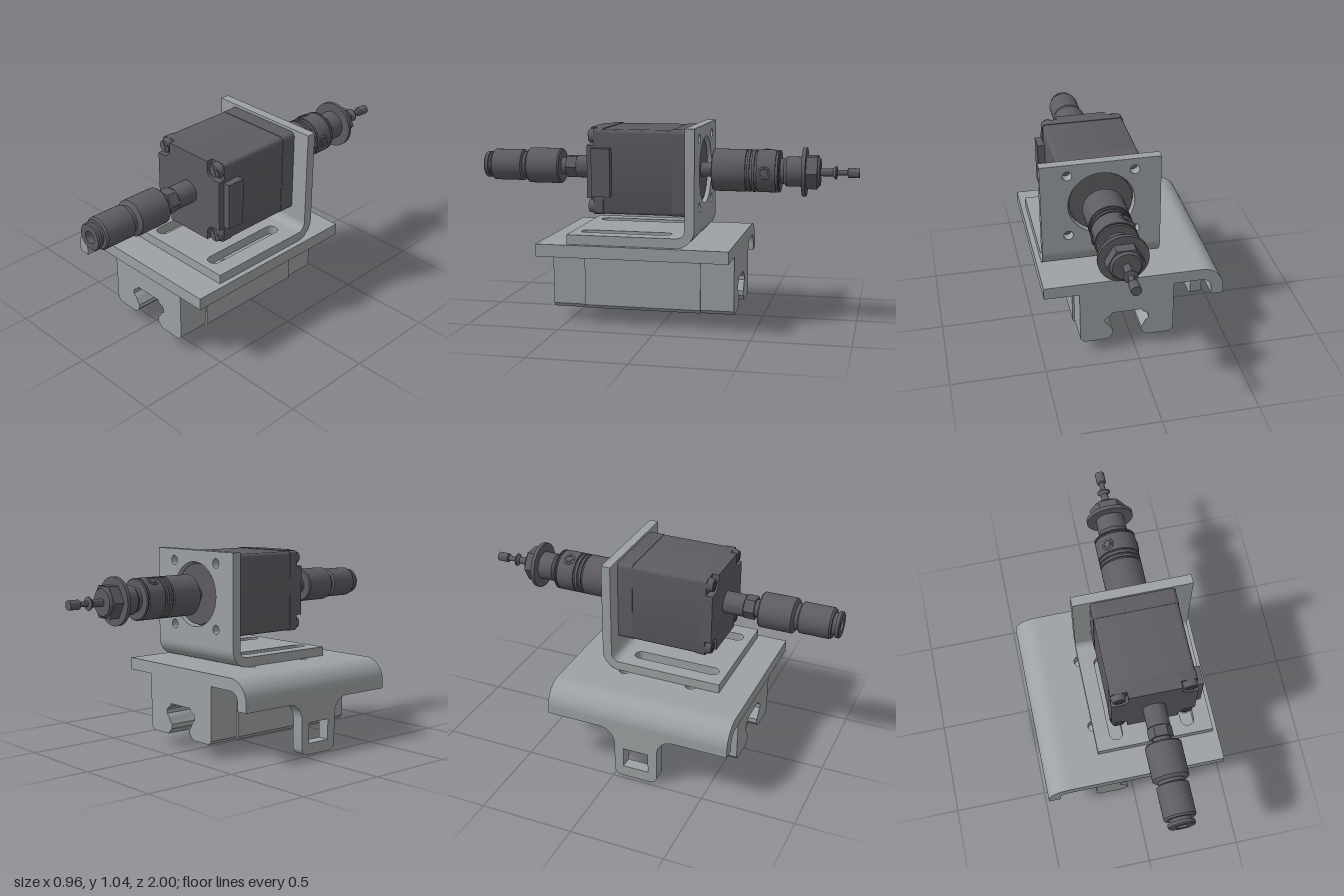
import * as THREE from 'three';
import { toCreasedNormals } from 'three/addons/utils/BufferGeometryUtils.js';

const CX = 0.138, CY = 0.808; // motor axis

export function createModel() {
  const root = new THREE.Group();
  const steel = new THREE.MeshStandardMaterial({ color: 0x9da2a4 });
  steel.name = 'light grey metal';
  const dark = new THREE.MeshStandardMaterial({ color: 0x5e5c62 });
  dark.name = 'dark grey metal';

  const add = (name, geo, mat, parent = root) => {
    const mesh = new THREE.Mesh(geo, mat);
    mesh.name = name;
    parent.add(mesh);
    return mesh;
  };
  const box = (name, x0, x1, y0, y1, z0, z1, mat, parent) =>
    add(name, new THREE.BoxGeometry(x1 - x0, y1 - y0, z1 - z0)
      .translate((x0 + x1) / 2, (y0 + y1) / 2, (z0 + z1) / 2), mat, parent);
  const poly = (pts) => new THREE.Shape(pts.map(([x, y]) => new THREE.Vector2(x, y)));
  const rect = (x0, x1, y0, y1) => poly([[x0, y0], [x1, y0], [x1, y1], [x0, y1]]);
  const circle = (x, y, r) => new THREE.Path().absarc(x, y, r, 0, Math.PI * 2, true);
  const slab = (shape, depth) => toCreasedNormals(
    new THREE.ExtrudeGeometry(shape, { depth, bevelEnabled: false, curveSegments: 20 }), 0.5);
  // Extrusions along z, along x (shape in z,y) and along y (shape in x,-z)
  const alongZ = (shape, z0, z1) => slab(shape, z1 - z0).translate(0, 0, z0);
  const alongX = (shape, x0, x1) => slab(shape, x1 - x0).rotateY(-Math.PI / 2).translate(x1, 0, 0);
  const alongY = (shape, y0, y1) => slab(shape, y1 - y0).rotateX(-Math.PI / 2).translate(0, y0, 0);
  const bend = (x, y, rOut, rIn, a0, a1) => {
    const s = new THREE.Shape();
    s.absarc(x, y, rOut, a0, a1, false);
    s.absarc(x, y, rIn, a1, a0, true);
    return s;
  };
  // Turned part on the motor axis, profile given as [z, radius]
  const turned = (name, profile, parent) => {
    const geo = new THREE.LatheGeometry(profile.map(([z, r]) => new THREE.Vector2(r, z)), 40);
    return add(name, toCreasedNormals(geo, 0.5).rotateX(Math.PI / 2).translate(CX, CY, 0), dark, parent);
  };
  const hexNut = (name, z0, z1, r, parent) =>
    add(name, toCreasedNormals(new THREE.CylinderGeometry(r, r, z1 - z0, 6), 0.5)
      .rotateY(Math.PI / 2).rotateX(Math.PI / 2).translate(CX, CY, (z0 + z1) / 2), dark, parent);

  // Base plate with rolled edge and latch tab
  const base = new THREE.Group();
  base.name = 'basePlate';
  root.add(base);
  const plate = rect(-0.36, 0.48, -0.62, 0.385);
  for (const x of [-0.168, 0.335])
    for (const z of [-0.08, 0.3]) plate.holes.push(circle(x, -z, 0.03));
  add('basePlateTop', alongY(plate, 0.377, 0.442), steel, base);
  add('basePlateBend', alongZ(bend(-0.36, 0.322, 0.12, 0.055, Math.PI / 2, Math.PI), -0.385, 0.62), steel, base);
  box('basePlateLip', -0.48, -0.415, 0.28, 0.322, -0.385, 0.62, steel, base);
  const tab = new THREE.Shape();
  tab.moveTo(0.04, 0);
  tab.lineTo(0.2, 0);
  tab.absarc(0.2, 0.04, 0.04, -Math.PI / 2, 0, false);
  tab.absarc(0.33, 0.19, 0.09, Math.PI, Math.PI / 2, true);
  tab.lineTo(-0.09, 0.28);
  tab.absarc(-0.09, 0.19, 0.09, Math.PI / 2, 0, true);
  tab.absarc(0.04, 0.04, 0.04, Math.PI, Math.PI * 1.5, false);
  tab.holes.push(rect(0.05, 0.19, 0.06, 0.17));
  add('latchTab', alongX(tab, -0.48, -0.415), steel, base);

  // Rail carriage: grooved profile, wider centre section between two end caps
  const carriage = new THREE.Group();
  carriage.name = 'railCarriage';
  carriage.position.x = 0.042;
  root.add(carriage);
  const profile = (w) => {
    const half = [[w, 0.377], [w, 0.09], [w - 0.02, 0.07], [0.105, 0.07], [0.076, 0.1], [0.076, 0.125],
      [0.09, 0.142], [0.1, 0.164], [0.118, 0.178], [0.118, 0.2], [0.103, 0.214], [0.085, 0.222], [0.08, 0.237]];
    return poly([...half, ...half.slice().reverse().map(([x, y]) => [-x, y])].reverse());
  };
  add('carriageCentre', alongZ(profile(0.263), -0.21, 0.41), steel, carriage);
  for (const [z0, z1] of [[-0.385, -0.21], [0.41, 0.585]])
    add('carriageEndCap', alongZ(profile(0.252), z0, z1), steel, carriage);
  box('carriageTopStrip', 0.26, 0.271, 0.348, 0.377, -0.21, 0.41, steel, carriage);

  // Slotted angle bracket
  const bracket = new THREE.Group();
  bracket.name = 'angleBracket';
  root.add(bracket);
  const foot = rect(-0.175, 0.453, -0.46, 0.11);
  for (const x of [-0.06, 0.33]) {
    const slot = new THREE.Path();
    slot.absarc(x, 0.03, 0.035, 0, Math.PI, false);
    slot.absarc(x, -0.38, 0.035, Math.PI, Math.PI * 2, false);
    foot.holes.push(slot);
  }
  add('bracketFoot', alongY(foot, 0.442, 0.492), steel, bracket);
  add('bracketBend', alongX(bend(-0.11, 0.537, 0.095, 0.045, Math.PI, Math.PI * 1.5), -0.175, 0.453), steel, bracket);
  const wall = rect(-0.175, 0.453, 0.537, 1.045);
  wall.holes.push(circle(CX, CY, 0.175));
  for (const sx of [-1, 1])
    for (const sy of [-1, 1]) wall.holes.push(circle(CX + sx * 0.175, CY + sy * 0.175, 0.025));
  add('bracketWall', alongZ(wall, -0.205, -0.155), steel, bracket);

  // Motor housing
  const motor = new THREE.Group();
  motor.name = 'motor';
  root.add(motor);
  const housing = (h, r) => {
    const s = new THREE.Shape();
    [[1, 1], [-1, 1], [-1, -1], [1, -1]].forEach(([sx, sy], k) =>
      s.absarc(CX + sx * (h - r), CY + sy * (h - r), r, k * Math.PI / 2, (k + 1) * Math.PI / 2, false));
    return s;
  };
  add('motorRearFlange', alongZ(housing(0.222, 0.025), -0.155, -0.072), dark, motor);
  add('motorBody', alongZ(housing(0.219, 0.02), -0.072, 0.3), dark, motor);
  // Front cover notched at each corner for a screw
  const cover = [];
  for (let k = 0; k < 4; k++) {
    const corner = [[0.222, 0.136]];
    for (let i = 0; i <= 8; i++) {
      const a = Math.PI * (1.5 - i / 16);
      corner.push([0.182 + 0.046 * Math.cos(a), 0.182 + 0.046 * Math.sin(a)]);
    }
    corner.push([0.136, 0.222]);
    const c = [1, 0, -1, 0][k], s = [0, 1, 0, -1][k];
    corner.forEach(([x, y]) => cover.push([CX + x * c - y * s, CY + x * s + y * c]));
  }
  add('motorCover', alongZ(poly(cover), 0.3, 0.375), dark, motor);
  add('motorCoverBase', alongZ(housing(0.222, 0.02), 0.29, 0.34), dark, motor);
  for (const sx of [-1, 1]) for (const sy of [-1, 1]) {
    const screw = new THREE.Group();
    screw.name = 'coverScrew';
    screw.position.set(CX + sx * 0.182, CY + sy * 0.182, 0.34);
    screw.rotation.z = 0.35;
    motor.add(screw);
    add('screwHead', new THREE.CylinderGeometry(0.032, 0.04, 0.03, 24).rotateX(Math.PI / 2).translate(0, 0, 0.015), dark, screw);
    box('screwCross', -0.026, 0.026, -0.005, 0.005, 0.028, 0.033, dark, screw);
    box('screwCross', -0.005, 0.005, -0.026, 0.026, 0.028, 0.033, dark, screw);
  }
  box('connector', 0.355, 0.396, 0.683, 0.931, 0.245, 0.343, dark, motor);
  turned('motorPilot', [[-0.185, 0], [-0.185, 0.165], [-0.15, 0.165]], motor);

  // Front fitting
  const front = new THREE.Group();
  front.name = 'frontFitting';
  root.add(front);
  turned('frontShaft', [[0.37, 0.06], [0.485, 0.06], [0.485, 0.046], [0.58, 0.046]], front);
  hexNut('frontNut', 0.487, 0.543, 0.064, front);
  turned('frontSocket', [[0.572, 0], [0.572, 0.088], [0.58, 0.094], [0.752, 0.094], [0.76, 0.086], [0.765, 0.07],
    [0.782, 0.07], [0.79, 0.083], [0.95, 0.083], [0.96, 0.075], [0.96, 0.058], [0.978, 0.058], [0.978, 0.07],
    [0.994, 0.07], [1, 0.065], [1, 0.032], [0.95, 0.032], [0.95, 0]], front);

  // Rear coupling with grooves
  const rear = new THREE.Group();
  rear.name = 'rearCoupling';
  root.add(rear);
  turned('rearShaft', [[-0.27, 0.037], [-0.18, 0.037]], rear);
  const grooves = [-0.585, -0.478, -0.453, -0.43].flatMap((z) =>
    [[z - 0.005, 0.11], [z - 0.005, 0.1], [z + 0.005, 0.1], [z + 0.005, 0.11]]);
  turned('couplingBody', [[-0.6, 0], [-0.6, 0.105], [-0.595, 0.11], ...grooves,
    [-0.255, 0.11], [-0.25, 0.105], [-0.25, 0]], rear);
  // Clamp screws on the side and the top
  for (const a of [0, Math.PI * 0.66]) {
    const clamp = new THREE.Group();
    clamp.name = 'clampScrew';
    clamp.position.set(CX, CY, -0.525);
    clamp.rotation.z = a;
    rear.add(clamp);
    add('clampScrewRing', new THREE.TorusGeometry(0.027, 0.006, 8, 24).rotateY(Math.PI / 2).translate(0.107, 0, 0), dark, clamp);
    add('clampScrewHead', new THREE.CylinderGeometry(0.018, 0.018, 0.02, 6).rotateZ(Math.PI / 2).translate(0.103, 0, 0), dark, clamp);
  }

  // Collar, nut and barbed tip
  turned('rearCollar', [[-0.733, 0], [-0.733, 0.126], [-0.713, 0.126], [-0.713, 0.077], [-0.632, 0.077],
    [-0.618, 0.065], [-0.595, 0.065]], rear);
  hexNut('rearNut', -0.79, -0.73, 0.095, rear);
  turned('rearNutFace', [[-0.803, 0], [-0.803, 0.07], [-0.789, 0.08]], rear);
  turned('barbedTip', [[-1, 0], [-1, 0.025], [-0.942, 0.025], [-0.938, 0.014], [-0.89, 0.014],
    [-0.885, 0.035], [-0.88, 0.035], [-0.865, 0.02], [-0.8, 0.02]], rear);

  return root;
}
